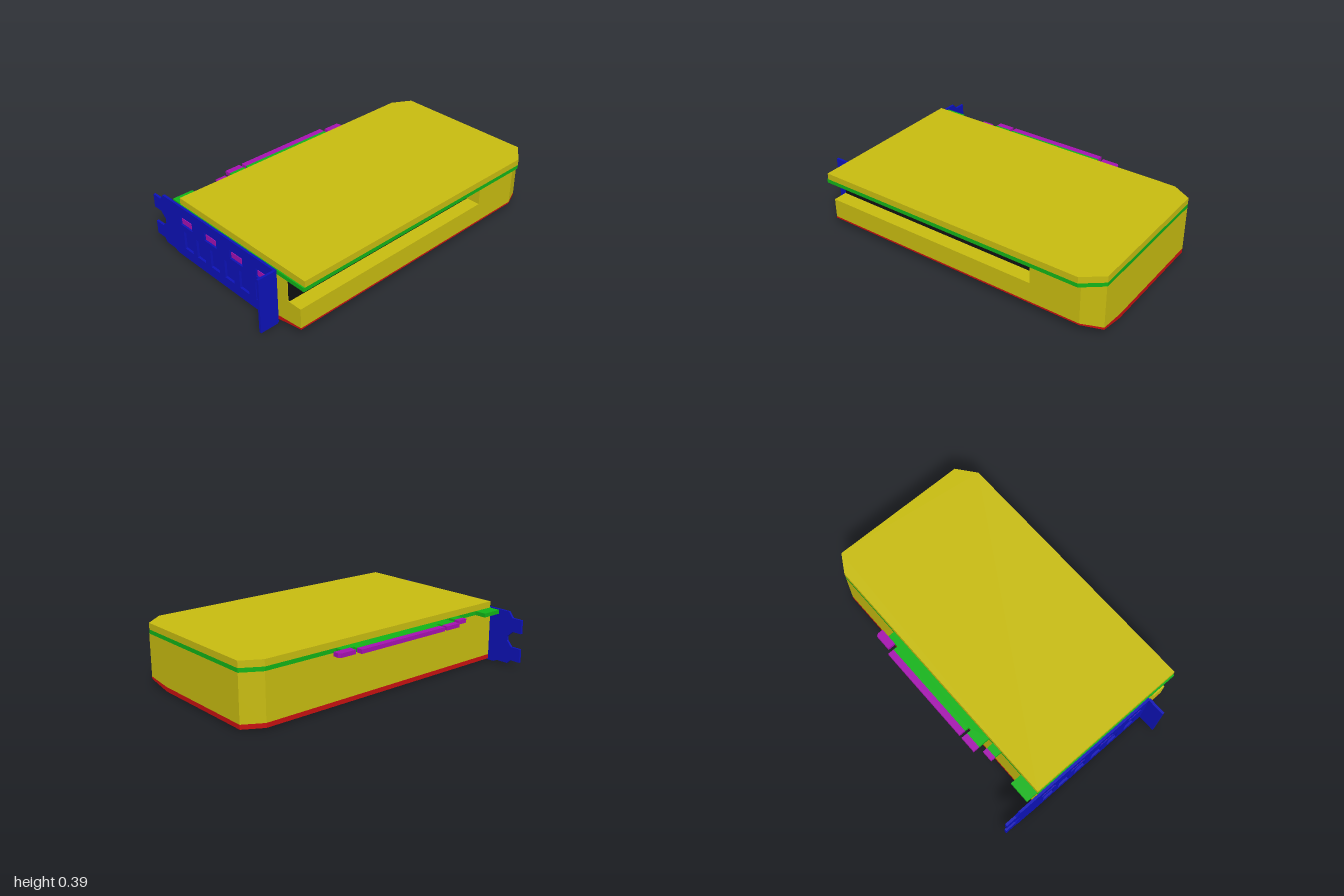
import * as THREE from 'three';

const mat = (color, extra = {}) => new THREE.MeshStandardMaterial({ color, ...extra });
const yellow = mat(0xc8bc10), green = mat(0x12b418), blue = mat(0x0d12b8), purple = mat(0xa512b0);
const red = mat(0xc81010), redThin = mat(0xc81010, { side: THREE.DoubleSide }), black = mat(0x111111);
const grey = mat(0xcccccc), blade = mat(0xcccccc, { flatShading: true, side: THREE.DoubleSide });

const FANS = [-0.38, 0.53], FZ = 0.11, R = 0.38; // fan centres, fan z, opening radius
const BEND = 0.4; // z where the underside starts to slope up
const A = Math.asin((BEND - FZ) / R);

const shapeOf = pts => new THREE.Shape(pts.map(p => new THREE.Vector2(...p)));

function arc(cx, a0, a1, n) {
  return Array.from({ length: n + 1 }, (_, i) => {
    const a = a0 + (a1 - a0) * i / n;
    return [cx + R * Math.cos(a), FZ + R * Math.sin(a)];
  });
}

export function createModel() {
  const model = new THREE.Group();

  function add(name, geometry, material, parent = model) {
    const m = new THREE.Mesh(geometry, material);
    m.name = name;
    parent.add(m);
    return m;
  }
  function box(name, x0, x1, y0, y1, z0, z1, material) {
    add(name, new THREE.BoxGeometry(x1 - x0, y1 - y0, z1 - z0), material)
      .position.set((x0 + x1) / 2, (y0 + y1) / 2, (z0 + z1) / 2);
  }
  // Horizontal slab from an x/z outline; its faces may slope up beyond the bend
  function slab(name, pts, y0, y1, material, slope0 = 0, slope1 = 0) {
    const g = new THREE.ExtrudeGeometry(shapeOf(pts), { depth: y1 - y0, bevelEnabled: false });
    g.rotateX(Math.PI / 2).translate(0, y1, 0);
    const p = g.attributes.position;
    for (let i = 0; i < p.count; i++) {
      const rise = Math.max(0, p.getZ(i) - BEND);
      const isTop = p.getY(i) > (y0 + y1) / 2;
      p.setY(i, p.getY(i) + rise * (isTop ? slope1 : slope0));
    }
    g.computeVertexNormals();
    add(name, g, material);
  }

  // Outlines of the pierced underside, split along the bend
  const rear = [[-0.87, -0.41], [0.88, -0.41], [1, -0.34], [1, BEND],
    ...arc(FANS[1], A, -Math.PI - A, 36), ...arc(FANS[0], A, -Math.PI - A, 36), [-0.87, BEND]];
  const front = [[-0.87, BEND], ...arc(FANS[0], Math.PI - A, A, 16),
    ...arc(FANS[1], Math.PI - A, A, 16), [1, BEND], [1, 0.565], [0.88, 0.62], [-0.87, 0.62]];

  // Fan plate and lower shroud
  slab('fanPlate', rear, 0.012, 0.04, red);
  slab('fanPlateSlope', front, 0.012, 0.04, red, 0.2, 0.12);
  slab('lowerShroud', rear, 0.04, 0.19, yellow);
  slab('lowerShroudFront', front, 0.04, 0.19, yellow, 0.12, 0);

  // Upper shroud with the long front opening and the heat sink behind it
  slab('upperShroud', [[-0.87, -0.41], [0.88, -0.41], [1, -0.34], [1, 0.565], [0.88, 0.62],
    [0.565, 0.62], [0.565, 0.52], [-0.87, 0.52]], 0.19, 0.325, yellow);
  box('heatSink', -0.865, 0.565, 0.19, 0.325, 0.46, 0.53, black);

  // Circuit board with its rear tabs, and backplate
  const cover = x => [[x, -0.41], [0.88, -0.41], [1, -0.34], [1, 0.56], [0.88, 0.655], [x, 0.655]];
  slab('circuitBoard', [[-0.875, -0.41], [-0.865, -0.41], [-0.865, -0.485], [-0.73, -0.485], [-0.73, -0.41],
    [-0.56, -0.41], [-0.56, -0.455], [-0.49, -0.455], [-0.49, -0.41], [-0.455, -0.41], [-0.455, -0.485],
    [-0.35, -0.485], [-0.35, -0.455], [-0.33, -0.455], [-0.33, -0.485], [0.32, -0.485], [0.32, -0.455],
    [0.405, -0.455], [0.405, -0.41], ...cover(-0.875).slice(1)], 0.325, 0.35, green);
  slab('backplate', cover(-0.867), 0.35, 0.39, yellow);

  // Edge contacts
  for (const [x0, x1, z0, z1] of [[-0.56, -0.49, -0.485, -0.455], [-0.455, -0.35, -0.525, -0.485],
    [-0.33, 0.32, -0.525, -0.485]]) box('edgeContact', x0, x1, 0.325, 0.35, z0, z1, purple);
  slab('edgeHook', [[0.345, -0.505], [0.45, -0.505], [0.46, -0.49], [0.46, -0.455], [0.345, -0.455]],
    0.325, 0.35, purple);

  // Mounting bracket: notched plate with vents and ports, drawn as [z, y]
  const flip = pts => pts.map(([z, y]) => [-z, y]);
  const plate = shapeOf(flip([[0.445, 0.003], [-0.45, 0.003], [-0.48, 0.017], [-0.56, 0.017], [-0.585, 0.042],
    [-0.655, 0.042], [-0.655, 0.128], [-0.585, 0.128], [-0.55, 0.165], [-0.55, 0.19], [-0.59, 0.228],
    [-0.655, 0.228], [-0.655, 0.315], [-0.585, 0.315], [-0.555, 0.352], [0.445, 0.352]]));
  const cut = (z, y0, y1, w) => plate.holes.push(new THREE.Path(
    flip([[z - w, y0], [z + w, y0], [z + w, y1], [z - w, y1]]).map(p => new THREE.Vector2(...p))));
  for (const z of [-0.33, -0.21, -0.08, 0.05, 0.18, 0.32]) cut(z, 0.07, 0.19, 0.04);
  for (const z of [-0.335, -0.11, 0.12, 0.345]) {
    cut(z, 0.23, 0.285, 0.055);
    box('port', -0.886, -0.868, 0.24, 0.275, z - 0.045, z + 0.045, purple);
  }
  const plateGeo = new THREE.ExtrudeGeometry(plate, { depth: 0.015, bevelEnabled: false });
  add('bracket', plateGeo.rotateY(Math.PI / 2).translate(-0.89, 0, 0), blue);
  box('bracketBacking', -0.875, -0.871, 0.04, 0.31, -0.4, 0.42, blue);
  box('bracketFlange', -1, -0.885, 0.003, 0.352, 0.435, 0.45, blue);

  // Fans: recessed housing, hub and swept blades
  const blades = 11;
  const bladeGeo = new THREE.PlaneGeometry(1, 1, 5, 3);
  const p = bladeGeo.attributes.position;
  for (let i = 0; i < p.count; i++) {
    const u = p.getX(i) + 0.5, v = p.getY(i) + 0.5;
    const r = 0.13 + 0.235 * u, a = 0.45 * u * u + 0.55 * v;
    p.setXYZ(i, r * Math.cos(a), 0.006 + 0.1 * v * (0.7 + 0.3 * v), r * Math.sin(a));
  }
  bladeGeo.computeVertexNormals();
  for (const x of FANS) {
    const fan = new THREE.Group();
    fan.name = 'fan';
    fan.position.set(x, 0, FZ);
    model.add(fan);
    add('fanHousing', new THREE.CylinderGeometry(R - 0.002, R - 0.002, 0.13, 48, 1, true), redThin, fan)
      .position.y = 0.125;
    add('heatSinkFace', new THREE.CylinderGeometry(R - 0.003, R - 0.003, 0.006, 48), black, fan)
      .position.y = 0.186;
    add('fanHub', new THREE.CylinderGeometry(0.145, 0.14, 0.17, 32), grey, fan).position.y = 0.087;
    for (let i = 0; i < blades; i++)
      add('fanBlade', bladeGeo, blade, fan).rotation.y = i * 2 * Math.PI / blades;
  }
  return model;
}
